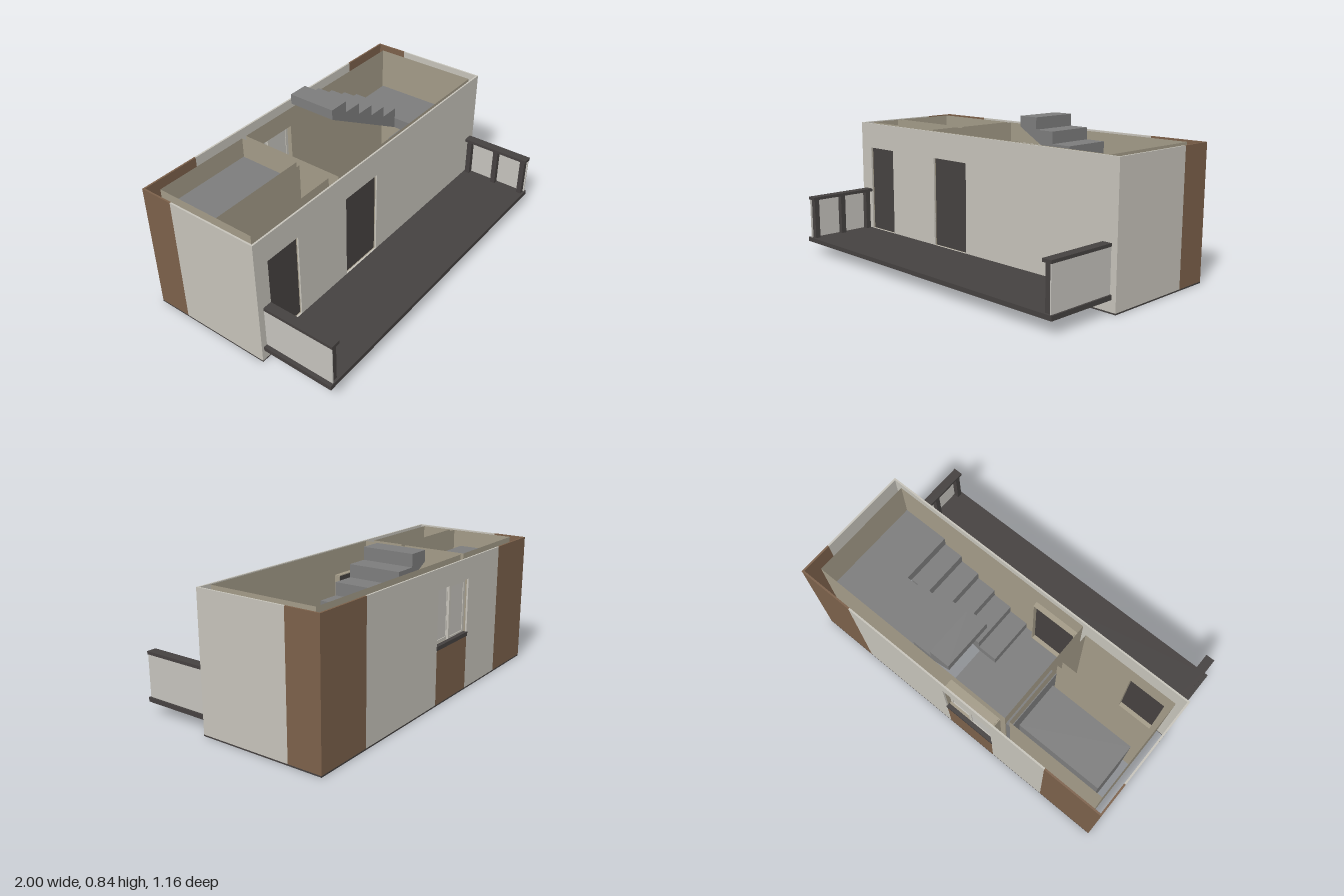
import * as THREE from 'three';

export function createModel() {
  const root = new THREE.Group();
  const mat = (name, color, side = THREE.FrontSide) => {
    const m = new THREE.MeshStandardMaterial({ color, side });
    m.name = name;
    return m;
  };
  const plaster = mat('plaster', 0xc5c2b9);
  const brown = mat('brownCladding', 0x7b604a);
  const dark = mat('darkTrim', 0x454140);
  const grey = mat('concreteGrey', 0x7c7c7c);
  const lining = mat('beigeLining', 0xa29a87, THREE.DoubleSide);
  const glass = mat('paleGlass', 0xc4c2bc);

  const H = 0.755, Z0 = -0.575, Z1 = 0.155, T = 0.01;

  const add = (name, geo, material, parent = root) => {
    const m = new THREE.Mesh(geo, material);
    m.name = name;
    parent.add(m);
    return m;
  };
  // Box given by its extents on each axis
  const box = (name, x0, x1, y0, y1, z0, z1, material, parent) => {
    const m = add(name, new THREE.BoxGeometry(x1 - x0, y1 - y0, z1 - z0), material, parent);
    m.position.set((x0 + x1) / 2, (y0 + y1) / 2, (z0 + z1) / 2);
    return m;
  };
  // Rectangle outline with rectangular openings [x0, x1, y0, y1]
  const rect = (P, x0, x1, y0, y1) => {
    const p = new P();
    p.moveTo(x0, y0); p.lineTo(x1, y0); p.lineTo(x1, y1); p.lineTo(x0, y1); p.closePath();
    return p;
  };
  const opened = (x0, x1, y0, y1, holes) => {
    const s = rect(THREE.Shape, x0, x1, y0, y1);
    holes.forEach(h => s.holes.push(rect(THREE.Path, ...h)));
    return s;
  };

  const doors = [[-0.91, -0.69, 0.095, 0.605], [-0.31, -0.04, 0.095, 0.605]];
  const win = [-0.30, 0.02, 0.33, 0.64];

  // Outer shell: front wall with door openings
  const shell = new THREE.Group();
  shell.name = 'outerShell';
  root.add(shell);
  const front = add('frontWall', new THREE.ExtrudeGeometry(opened(-1, 1, 0.008, H, doors),
    { depth: T, bevelEnabled: false }), plaster, shell);
  front.position.z = Z1 - T;

  // Back wall in vertical bays, with brown end bays and a brown apron under the window
  [
    [-1, -0.65, 0.008, H, brown], [-0.65, win[0], 0.008, H, plaster],
    [win[0], win[1], 0.008, win[2], brown], [win[0], win[1], win[3], H, plaster],
    [win[1], 0.66, 0.008, H, plaster], [0.66, 1, 0.008, H, brown],
  ].forEach(([x0, x1, y0, y1, m]) => box('backWallBay', x0, x1, y0, y1, Z0, Z0 + T, m, shell));

  // Side walls and the thin base edge
  for (const s of [-1, 1]) {
    const x0 = s < 0 ? -1 : 1 - T, x1 = x0 + T;
    box('sideWall', x0, x1, 0.008, H, -0.38, Z1 - T, plaster, shell);
    box('sideCladding', x0, x1, 0.008, H, Z0 + T, -0.38, brown, shell);
    box('baseEdgeSide', x0, x1, 0, 0.008, Z0, Z1, dark, shell);
  }
  box('baseEdgeFront', -1, 1, 0, 0.008, Z1 - T, Z1, dark, shell);
  box('baseEdgeBack', -1, 1, 0, 0.008, Z0, Z0 + T, dark, shell);

  // Inner lining surfaces of the rooms
  const rooms = new THREE.Group();
  rooms.name = 'innerWalls';
  root.add(rooms);
  const alongX = (x0, x1, z, holes = []) => {
    const m = add('innerWall', new THREE.ShapeGeometry(opened(x0, x1, 0.005, H, holes)), lining, rooms);
    m.position.z = z;
  };
  const alongZ = (z0, z1, x) => {
    const m = add('innerWall', new THREE.ShapeGeometry(opened(-z1, -z0, 0.005, H, [])), lining, rooms);
    m.rotation.y = Math.PI / 2;
    m.position.x = x;
  };
  alongX(-0.34, 0.93, -0.5, [win]);
  alongX(-0.34, 0.93, 0.13, [doors[1]]);
  alongZ(-0.5, 0.13, 0.93);
  alongZ(-0.5, 0.13, -0.34);
  alongX(-0.95, -0.37, -0.5);
  alongX(-0.95, -0.37, -0.12);
  alongX(-0.95, -0.38, -0.09);
  alongX(-0.95, -0.38, 0.1, [doors[0]]);
  alongZ(-0.5, 0.1, -0.95);
  alongZ(-0.5, -0.12, -0.37);
  alongZ(-0.09, 0.1, -0.38);

  // Doors set back in their openings, with sills and jambs
  doors.forEach(([x0, x1, y0, y1]) => {
    box('door', x0, x1, y0, y1, 0.125, 0.14, dark);
    box('doorSill', x0, x1, y0 - 0.01, y0, 0.1, 0.146, lining);
    box('doorHead', x0, x1, y1, y1 + 0.005, 0.1, 0.146, lining);
    box('doorJamb', x0 - 0.005, x0, y0, y1, 0.1, 0.146, lining);
    box('doorJamb', x1, x1 + 0.005, y0, y1, 0.1, 0.146, lining);
  });

  // Rear sliding window with reveal, frame, two panes and a dark sill
  const [wx0, wx1, wy0, wy1] = win, wm = (wx0 + wx1) / 2, f = 0.018;
  const windowGroup = new THREE.Group();
  windowGroup.name = 'window';
  root.add(windowGroup);
  box('revealBottom', wx0, wx1, wy0 - 0.006, wy0, Z0 + T, -0.5, lining, windowGroup);
  box('revealTop', wx0, wx1, wy1, wy1 + 0.006, Z0 + T, -0.5, lining, windowGroup);
  box('revealSide', wx0 - 0.006, wx0, wy0, wy1, Z0 + T, -0.5, lining, windowGroup);
  box('revealSide', wx1, wx1 + 0.006, wy0, wy1, Z0 + T, -0.5, lining, windowGroup);
  box('outerSill', wx0 - 0.003, wx1 + 0.003, wy0 - 0.015, wy0 + 0.008, Z0 - 0.004, Z0 + 0.02, dark, windowGroup);
  [[wx0, wm + 0.01, -0.555], [wm - 0.01, wx1, -0.54]].forEach(([x0, x1, z]) => {
    const sash = opened(x0, x1, wy0, wy1, [[x0 + f, x1 - f, wy0 + f, wy1 - f]]);
    const m = add('sash', new THREE.ExtrudeGeometry(sash, { depth: 0.012, bevelEnabled: false }), plaster, windowGroup);
    m.position.z = z;
    box('pane', x0 + f, x1 - f, wy0 + f, wy1 - f, z + 0.004, z + 0.008, glass, windowGroup);
  });

  // Hall floor, inner door panel and the enclosed block in the rear room
  box('hallFloor', -0.34, 0.15, 0.075, 0.09, -0.5, 0.144, grey);
  box('hallFloorBay', -0.34, 0.03, 0.075, 0.09, Z0 + T, -0.5, grey);
  box('innerDoorPanel', -0.375, -0.33, 0.09, 0.63, -0.495, -0.125, grey);
  box('rearRoomBlock', -0.905, -0.405, 0.08, 0.67, -0.465, -0.195, grey);

  // U-shaped staircase: two flights joined by a landing
  const stairs = new THREE.Group();
  stairs.name = 'staircase';
  root.add(stairs);
  const X0 = 0.03, X1 = 0.64, N = 5, go = (X1 - X0) / N, base = 0.09, rise = 0.0686;
  const landing = base + 6 * rise;
  const flight = (name, pts, z0, z1) => {
    const shape = new THREE.Shape(pts.map(p => new THREE.Vector2(...p)));
    const m = add(name, new THREE.ExtrudeGeometry(shape, { depth: z1 - z0, bevelEnabled: false }), grey, stairs);
    m.position.z = z0;
  };
  const lower = [[X0, base]], upper = [[X1, landing]];
  for (let i = 0; i < N; i++) {
    const yl = base + (i + 1) * rise, yu = landing + (i + 1) * rise;
    lower.push([X0 + i * go, yl], [X0 + (i + 1) * go, yl]);
    upper.push([X1 - i * go, yu], [X1 - (i + 1) * go, yu]);
  }
  lower.push([X1, landing - 0.065], [X1, base + 0.275], [X0 + go, base]);
  upper.push([X0, 0.785], [X1, landing - 0.065]);
  flight('lowerFlight', lower, -0.16, 0.13);
  flight('upperFlight', upper, -0.495, -0.2);
  box('landing', X1, 0.93, landing - 0.065, landing, -0.495, 0.13, grey, stairs);

  // Balcony deck with a glazed railing at each end
  box('balconyDeck', -0.985, 0.975, 0.07, 0.095, Z1, 0.578, dark);
  for (const s of [-1, 1]) {
    const rail = new THREE.Group();
    rail.name = s < 0 ? 'rightRailing' : 'leftRailing';
    rail.position.x = s < 0 ? -0.938 : 0.94;
    root.add(rail);
    box('handrail', -0.027, 0.027, 0.328, 0.345, Z1, 0.576, dark, rail);
    const gx = s * 0.022;
    box('glassPanel', gx - 0.003, gx + 0.003, 0.095, 0.328, Z1, 0.572, glass, rail);
    for (const z of [0.18, 0.365, 0.55])
      box('post', -0.015, 0.015, 0.095, 0.328, z - 0.015, z + 0.015, dark, rail);
  }
  return root;
}
